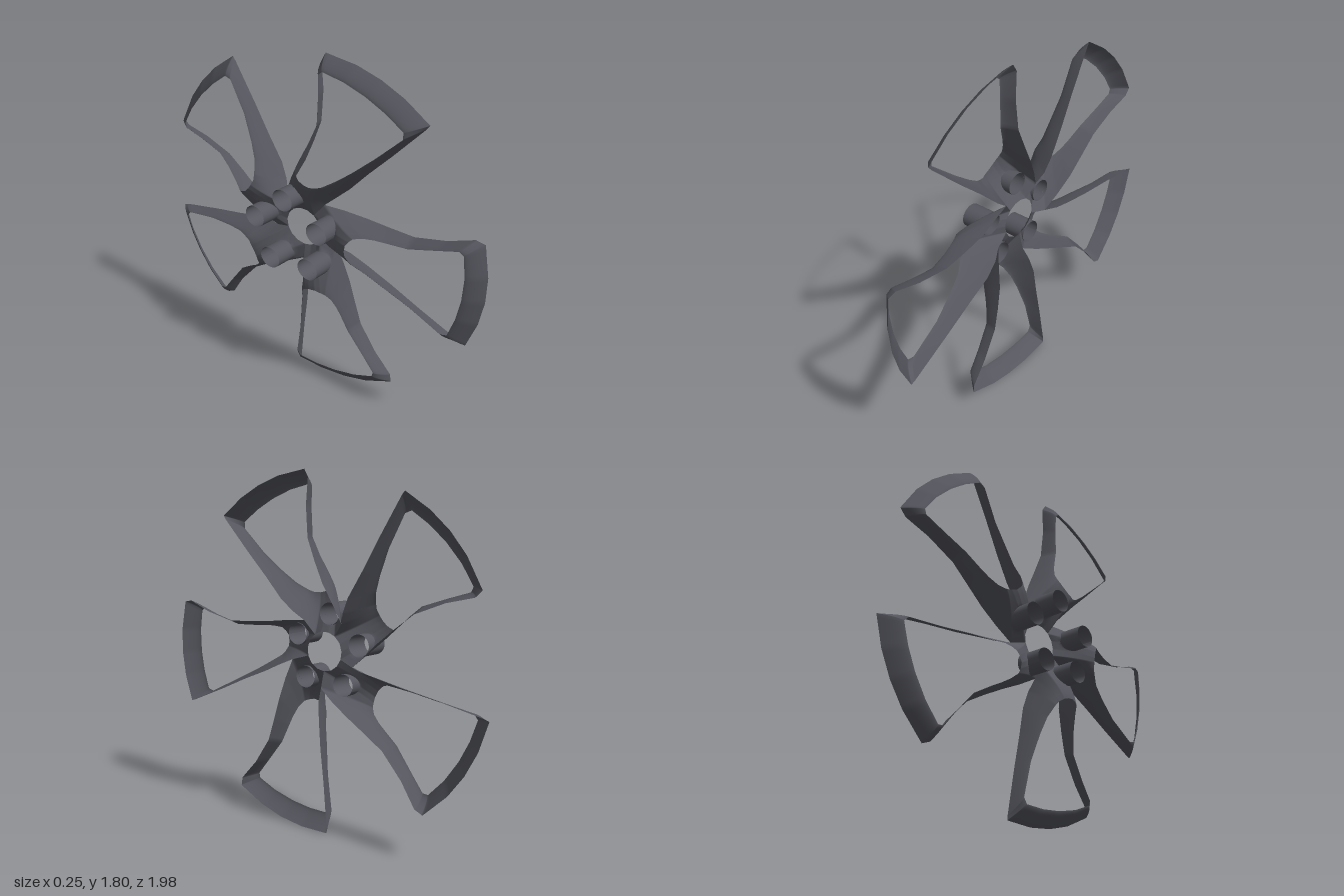
import * as THREE from 'three';

const material = new THREE.MeshStandardMaterial({ color: 0x55565e, side: THREE.DoubleSide });
const rad = THREE.MathUtils.degToRad;

// Hub point at an angle from the spoke's centre line
const polar = (r, deg, h) => [r * Math.cos(rad(deg)), r * Math.sin(rad(deg)), h];
const HUB = 0.1, NOTCH = 0.185;

// Spoke cross-sections: [window edge, outer edge], each as radial, tangential, depth
const sections = [
  [[0.325, -0.118, -0.068], polar(NOTCH, -60, 0.04)],
  [[0.36, -0.13, -0.045], [0.19, -0.165, 0.06]],
  [[0.41, -0.136, -0.025], [0.3, -0.163, 0.08]],
  [[0.46, -0.138, -0.01], [0.42, -0.166, 0.085]],
  [[0.555, -0.146, 0.01], [0.54, -0.173, 0.087]],
  [[0.68, -0.198, 0.018], [0.69, -0.226, 0.088]],
  [[0.779, -0.242, 0.02], [0.81, -0.29, 0.09]],
  [[0.803, -0.23, 0.02], [0.855, -0.286, 0.09]],
  [[0.825, -0.12, 0.02], [0.895, -0.13, 0.09]],
  [[0.83, 0, 0.02], [0.905, 0, 0.09]],
  [[0.82, 0.11, 0.02], [0.895, 0.13, 0.09]],
  [[0.797, 0.215, 0.02], [0.86, 0.275, 0.09]],
  [[0.765, 0.228, 0.02], [0.835, 0.27, 0.09]],
  [[0.6, 0.162, 0.015], [0.62, 0.198, 0.088]],
  [[0.47, 0.105, -0.01], [0.46, 0.14, 0.087]],
  [[0.39, 0.064, -0.03], [0.32, 0.095, 0.085]],
  [[0.335, 0.03, -0.06], [0.24, 0.062, 0.07]],
  [[0.315, 0.01, -0.07], polar(NOTCH, 12, 0.04)],
  [[0.303, -0.015, -0.082], polar(HUB, 12, 0.02)],
  [[0.298, -0.04, -0.085], polar(HUB, -12, 0.02)],
  [[0.3, -0.075, -0.085], polar(HUB, -36, 0.02)],
  [[0.312, -0.1, -0.078], polar(HUB, -60, 0.02)],
];

// Bolt hole, in the spoke's own frame
const [boltA, boltB] = polar(0.19, -28, 0);
const BOLT_R = 0.056;

// Spoke frame to world: turn about the hub, widen along z, lean slightly
function place(a, b, h, angle) {
  const u = a * Math.cos(angle) - b * Math.sin(angle);
  const v = a * Math.sin(angle) + b * Math.cos(angle);
  return [h - 0.036 * v, 0.9 + v, -0.01 - 1.11 * u];
}

function surface(positions, index, name) {
  const g = new THREE.BufferGeometry();
  g.setAttribute('position', new THREE.Float32BufferAttribute(positions, 3));
  g.setIndex(index);
  g.computeVertexNormals();
  const mesh = new THREE.Mesh(g, material);
  mesh.name = name;
  return mesh;
}

// Dished spoke frame around its window, with its share of the hub and a bolt hole
function spoke(angle) {
  const SUB = 8, ROWS = 16, n = sections.length * SUB;
  const positions = [], inside = [], index = [];
  const lerp = THREE.MathUtils.lerp;
  for (let i = 0; i < n; i++) {
    const k = Math.floor(i / SUB), f = (i % SUB) / SUB;
    const s = sections[k], e = sections[(k + 1) % sections.length];
    const mix = (side) => s[side].map((c, j) => lerp(c, e[side][j], f));
    const p = mix(0), q = mix(1);
    for (let r = 0; r <= ROWS; r++) {
      const t = r / ROWS;
      let a = lerp(p[0], q[0], t), b = lerp(p[1], q[1], t);
      const h = lerp(p[2], q[2], Math.pow(t, 1.4));
      // Push points inside the bolt hole out to its rim
      const da = a - boltA, db = b - boltB, d = Math.hypot(da, db);
      inside.push(d < BOLT_R);
      if (d < BOLT_R) {
        a = boltA + (da / (d || 1)) * BOLT_R;
        b = boltB + (db / (d || 1)) * BOLT_R;
      }
      positions.push(...place(a, b, h, angle));
    }
  }
  const tri = (...v) => { if (!v.every((j) => inside[j])) index.push(...v); };
  for (let i = 0; i < n; i++) {
    for (let r = 0; r < ROWS; r++) {
      const c = i * (ROWS + 1) + r, d = ((i + 1) % n) * (ROWS + 1) + r;
      tri(c, d, c + 1);
      tri(d, d + 1, c + 1);
    }
  }
  return surface(positions, index, 'spoke');
}

// Open bolt tube behind the hub
function boltTube(angle) {
  const SIDES = 32, positions = [], index = [];
  for (let i = 0; i <= SIDES; i++) {
    const w = (i / SIDES) * Math.PI * 2;
    const a = boltA + BOLT_R * Math.cos(w), b = boltB + BOLT_R * Math.sin(w);
    positions.push(...place(a, b, -0.123, angle), ...place(a, b, 0.005, angle));
    if (i < SIDES) index.push(2 * i, 2 * i + 2, 2 * i + 1, 2 * i + 1, 2 * i + 2, 2 * i + 3);
  }
  return surface(positions, index, 'boltTube');
}

export function createModel() {
  const model = new THREE.Group();
  model.name = 'wheelSpokes';
  for (let i = 0; i < 5; i++) {
    const angle = rad(42 + 72 * i);
    model.add(spoke(angle), boltTube(angle));
  }
  return model;
}
